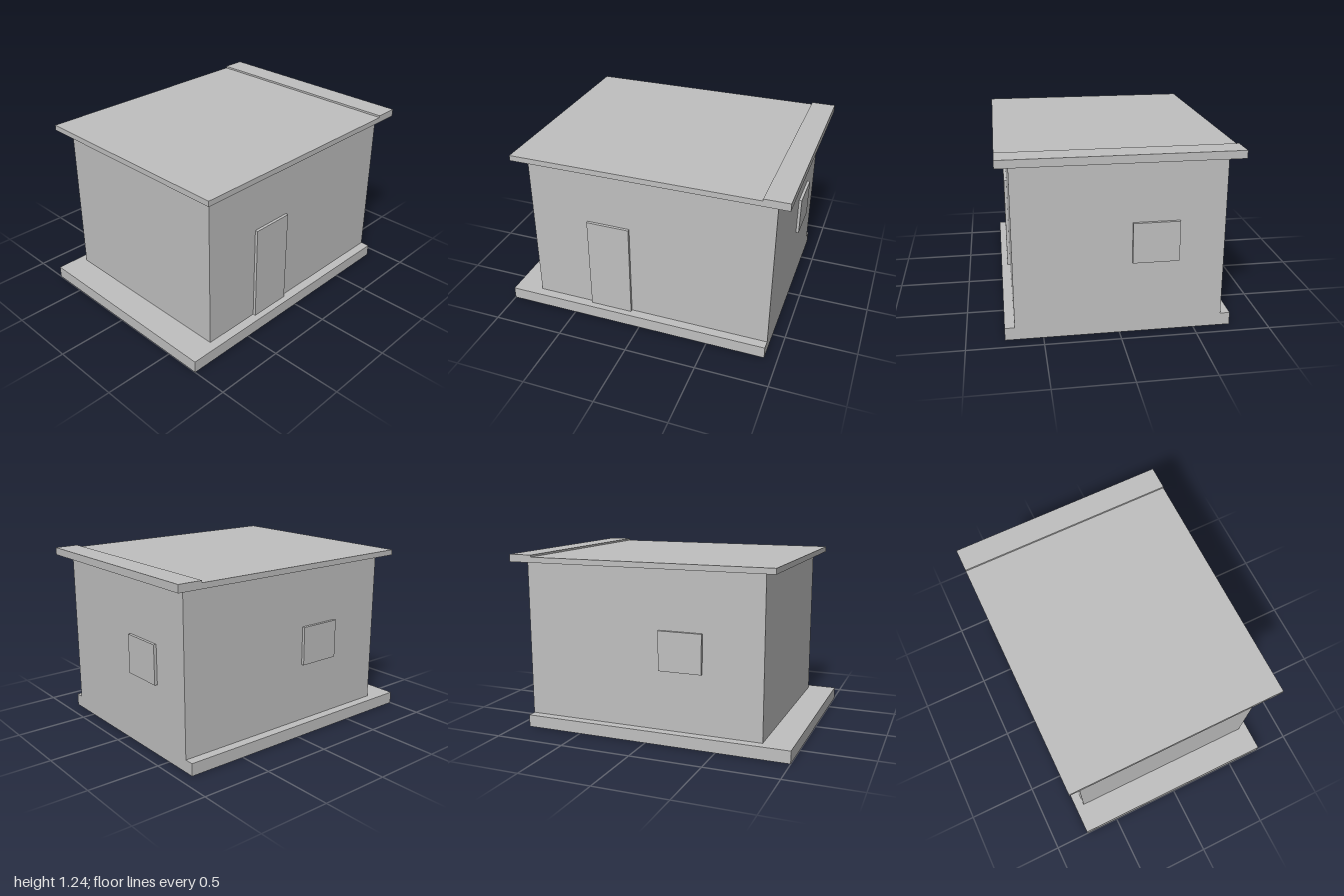
import * as THREE from 'three';

export function createModel() {
  const group = new THREE.Group();
  const plaster = new THREE.MeshStandardMaterial({ color: 0xc0c0c0 });
  plaster.name = 'light grey';

  // Box given by its lower and upper corners
  function block(name, [x0, y0, z0], [x1, y1, z1]) {
    const mesh = new THREE.Mesh(new THREE.BoxGeometry(x1 - x0, y1 - y0, z1 - z0), plaster);
    mesh.position.set((x0 + x1) / 2, (y0 + y1) / 2, (z0 + z1) / 2);
    mesh.name = name;
    group.add(mesh);
  }

  const wallX = 0.685, backZ = -0.911, panel = 0.02;
  const floorY = 0.086, eavesY = 1.184;
  const sillY = 0.498, headY = 0.77;

  // Plinth and main body, flush at the back
  block('plinth', [-0.75, 0, backZ], [0.75, floorY, 1]);
  block('walls', [-wallX, floorY, backZ], [wallX, eavesY, 0.8]);

  // Flat roof with a raised strip along the back edge
  block('roof', [-0.768, eavesY, -0.83], [0.768, 1.222, 0.882]);
  block('roofBackStrip', [-0.768, eavesY, -1], [0.768, 1.236, -0.83]);

  // Door and window panels
  block('door', [wallX, floorY, 0.077], [wallX + panel, headY, 0.382]);
  block('sideWindow', [-wallX - panel, sillY, 0.08], [-wallX, headY, 0.385]);
  block('backWindow', [-0.385, sillY, backZ - panel], [-0.08, headY, backZ]);

  return group;
}
